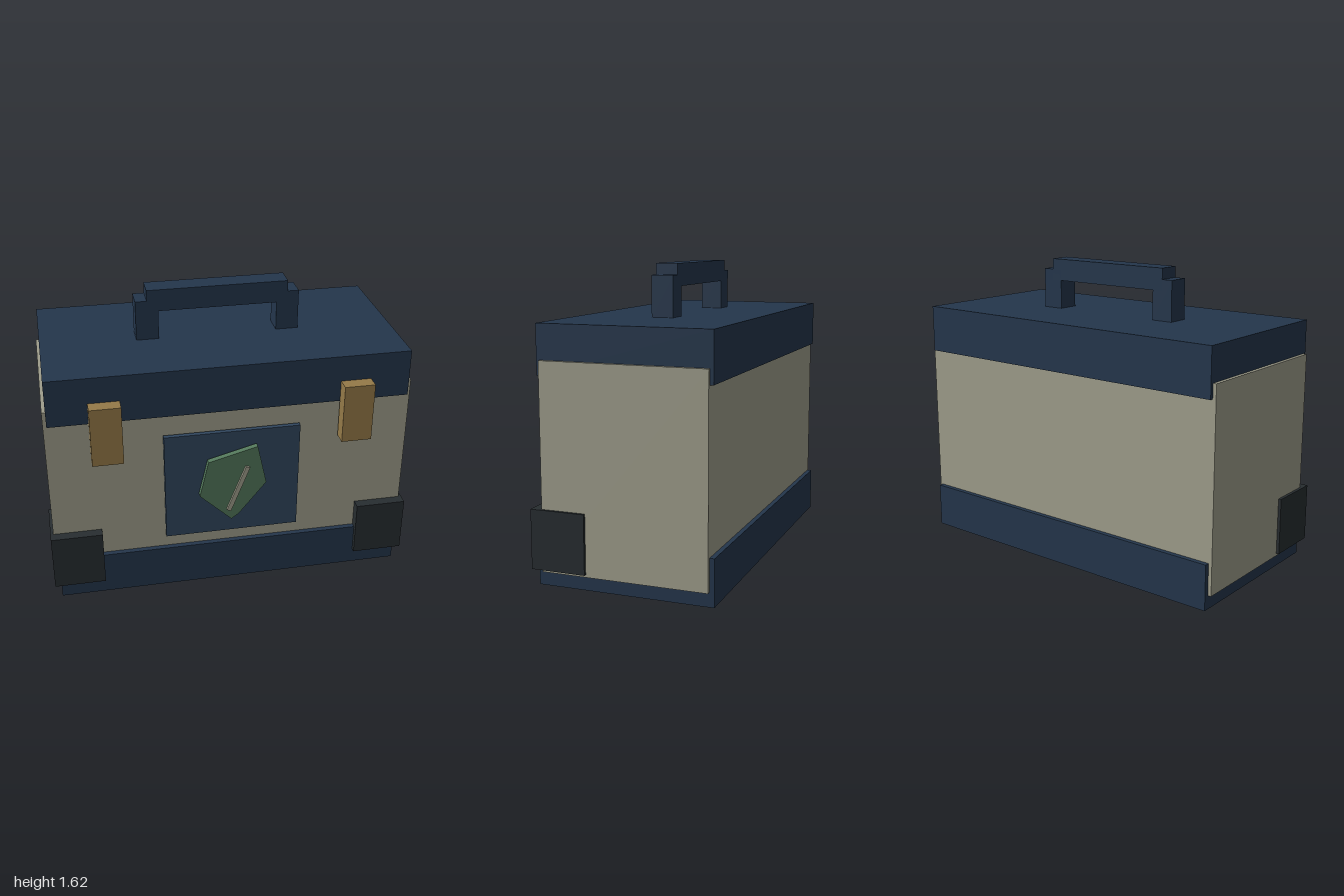
import * as THREE from 'three';

const mat = (color) => new THREE.MeshStandardMaterial({ color, flatShading: true });
const navy = mat(0x24364c), canvas = mat(0x9f9e8c), brass = mat(0x957a48);
const iron = mat(0x272d30), blue = mat(0x30465e), green = mat(0x52775a);

export function createModel() {
  const group = new THREE.Group();

  // Box given by its extents along x, y and z
  const box = (name, material, [x0, x1], [y0, y1], [z0, z1]) => {
    const mesh = new THREE.Mesh(new THREE.BoxGeometry(x1 - x0, y1 - y0, z1 - z0), material);
    mesh.position.set((x0 + x1) / 2, (y0 + y1) / 2, (z0 + z1) / 2);
    mesh.name = name;
    group.add(mesh);
    return mesh;
  };
  // Same box on the left (+x) and right (-x) sides
  const pair = (name, material, [x0, x1], y, z) => {
    box(name + 'Left', material, [x0, x1], y, z);
    box(name + 'Right', material, [-x1, -x0], y, z);
  };

  // Case
  box('body', canvas, [-0.96, 0.96], [0.075, 1.16], [-0.48, 0.412]);
  pair('sidePanel', canvas, [0.96, 0.984], [0.075, 1.16], [-0.48, 0.412]);
  box('base', navy, [-0.965, 0.965], [0, 0.247], [-0.506, 0.441]);
  box('lid', navy, [-0.965, 0.965], [1.082, 1.343], [-0.498, 0.432]);

  // Handle
  pair('handlePost', navy, [0.324, 0.447], [1.34, 1.564], [-0.092, 0.029]);
  box('handleGrip', navy, [-0.385, 0.385], [1.503, 1.624], [-0.092, 0.029]);

  // Fittings
  pair('latch', brass, [0.586, 0.751], [0.87, 1.2], [0.43, 0.507]);
  pair('cornerGuard', iron, [0.72, 1], [0.089, 0.404], [0.17, 0.467]);

  // Front plaque with a faceted emblem
  box('plaque', blue, [-0.369, 0.369], [0.334, 0.966], [0.424, 0.45]);
  const outline = [[-0.139, 0.813], [-0.187, 0.604], [-0.013, 0.436],
    [0.027, 0.465], [0.179, 0.654], [0.128, 0.885]];
  const shape = new THREE.Shape(outline.map(([x, y]) => new THREE.Vector2(x, y)));
  const emblem = new THREE.Mesh(
    new THREE.ExtrudeGeometry(shape, { depth: 0.033, bevelEnabled: false }), green);
  emblem.position.z = 0.459;
  emblem.name = 'emblem';
  group.add(emblem);

  // Slanted bar across the emblem
  const bar = box('emblemBar', canvas, [0.01, 0.034], [0.493, 0.778], [0.485, 0.507]);
  bar.rotation.z = -0.37;

  return group;
}
